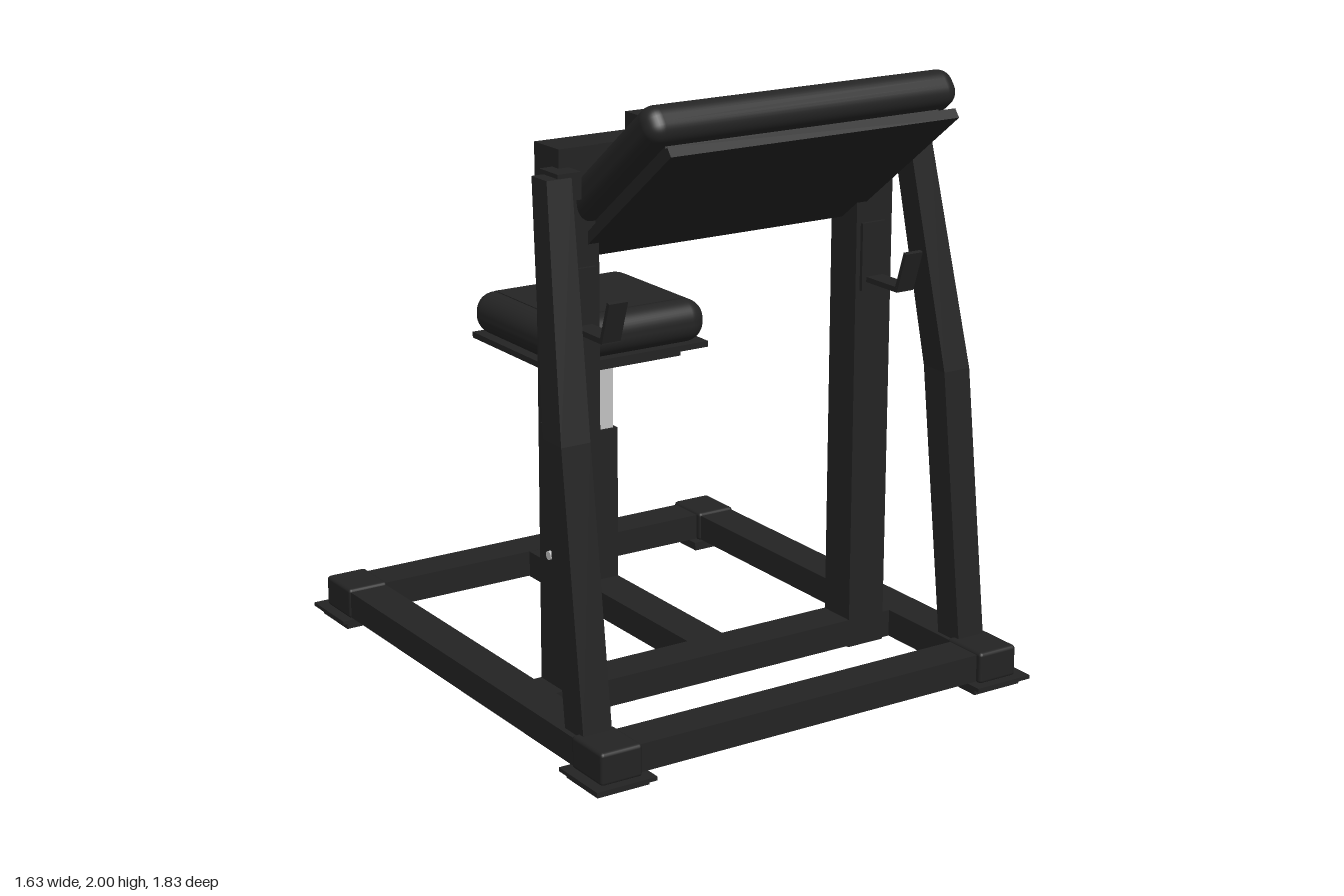
import * as THREE from 'three';
import { RoundedBoxGeometry } from 'three/addons/geometries/RoundedBoxGeometry.js';

const mat = (name, color) => new THREE.MeshStandardMaterial({ name, color });

export function createModel() {
  const model = new THREE.Group();
  model.name = 'preacherCurlBench';
  const frame = mat('black frame', 0x232323);
  const vinyl = mat('black vinyl', 0x242424);
  const chrome = mat('light steel', 0xc2c2c2);
  const hole = mat('hole black', 0x0a0a0a);

  const add = (name, geo, material, x = 0, y = 0, z = 0, parent = model) => {
    const m = new THREE.Mesh(geo, material);
    m.name = name;
    m.position.set(x, y, z);
    parent.add(m);
    return m;
  };
  // Box given by its min and max on each axis
  const box = (name, [x0, x1], [y0, y1], [z0, z1], material = frame, parent = model) =>
    add(name, new THREE.BoxGeometry(x1 - x0, y1 - y0, z1 - z0), material,
      (x0 + x1) / 2, (y0 + y1) / 2, (z0 + z1) / 2, parent);
  // Range mirrored to the side s
  const side = (s, a, b) => (s > 0 ? [a, b] : [-b, -a]);
  const rod = (name, r, len, axis, x, y, z, material = chrome) => {
    const m = add(name, new THREE.CylinderGeometry(r, r, len, 20), material, x, y, z);
    if (axis === 'x') m.rotation.z = Math.PI / 2;
    else m.rotation.x = Math.PI / 2;
    return m;
  };

  // Base rails
  const railY = [0.035, 0.125];
  box('frontRail', [-0.65, 0.65], railY, [0.73, 0.865]);
  box('middleRail', [-0.65, 0.65], railY, [0.265, 0.4]);
  box('rearRail', [-0.65, 0.65], railY, [-0.87, -0.735]);
  box('centreRail', [-0.067, 0.067], [0.033, 0.124], [-0.74, 0.27]);

  for (const s of [1, -1]) {
    box('sideRail', side(s, 0.642, 0.775), railY, [-0.87, 0.87]);

    // Boots and foot plates on the corners
    for (const t of [1, -1]) {
      add('cornerBoot', new RoundedBoxGeometry(0.145, 0.105, 0.17, 2, 0.012), frame, s * 0.708, 0.082, t * 0.8);
      box('footPlate', side(s, 0.605, 0.815), [0.022, 0.034], side(t, 0.7, 0.915));
      box('footPad', side(s, 0.615, 0.795), [0, 0.022], side(t, 0.71, 0.885));
    }

    // Uprights with bolts
    box('upright', side(s, 0.477, 0.615), [0.03, 1.825], [0.267, 0.4]);
    for (const y of [0.55, 1.0, 1.455]) rod('uprightBolt', 0.014, 0.012, 'x', s * 0.619, y, 0.333);

    // Bent front leg: cross-sections [y, x, z, width, depth] on a box
    const stations = [[0.12, 0.707, 0.695, 0.1, 0.105], [1.0, 0.707, 0.583, 0.1, 0.105], [1.755, 0.658, 0.432, 0.085, 0.085]];
    const leg = new THREE.BoxGeometry(1, 2, 1, 1, 2, 1);
    const p = leg.attributes.position;
    for (let i = 0; i < p.count; i++) {
      const [y, x, z, w, d] = stations[Math.round(p.getY(i)) + 1];
      p.setXYZ(i, s * x + p.getX(i) * w, y, z + p.getZ(i) * d);
    }
    const flatLeg = leg.toNonIndexed();
    flatLeg.computeVertexNormals();
    add('frontLeg', flatLeg, frame);
    box('legBracket', side(s, 0.58, 0.66), [1.685, 1.768], [0.365, 0.47]);

    // Bar hook: back plate, arm and leaning lip
    const hook = new THREE.Group();
    hook.name = 'barHook';
    model.add(hook);
    box('hookPlate', side(s, 0.493, 0.583), [1.24, 1.46], [0.4, 0.412], frame, hook);
    box('hookArm', side(s, 0.51, 0.575), [1.268, 1.285], [0.41, 0.57], frame, hook);
    const lip = add('hookLip', new THREE.BoxGeometry(0.065, 0.135, 0.014), frame, s * 0.543, 1.337, 0.585, hook);
    lip.rotation.x = 0.32;
  }
  box('sidePlaque', [-0.622, -0.614], [0.68, 0.965], [0.29, 0.375]);

  // Top beam and raised plate
  box('topBeam', [-0.615, 0.615], [1.69, 1.825], [0.262, 0.395]);
  box('topPlate', [-0.362, 0.362], [1.73, 1.905], [0.365, 0.435]);

  // Sloping arm pad
  const rest = new THREE.Group();
  rest.name = 'armRest';
  rest.position.set(0, 1.757, 0.51);
  rest.rotation.x = -0.656;
  model.add(rest);
  add('armPad', new RoundedBoxGeometry(1.108, 0.12, 0.71, 5, 0.05), vinyl, 0, 0, 0, rest);
  add('armPadPanel', new THREE.BoxGeometry(1.0, 0.006, 0.58), vinyl, 0, 0.06, 0, rest);

  // Boards under the arm pad, with cut corners at the lower end
  const board = (name, w, z0, z1, y0, y1) => {
    const c = 0.04;
    const outline = new THREE.Shape([[-w, -z1], [w, -z1], [w, -z0 - c], [w - c, -z0], [c - w, -z0], [-w, -z0 - c]]
      .map(([x, y]) => new THREE.Vector2(x, y)));
    const geo = new THREE.ExtrudeGeometry(outline, { depth: y1 - y0, bevelEnabled: false });
    geo.rotateX(-Math.PI / 2);
    add(name, geo, frame, 0, y0, 0, rest);
  };
  board('padSpacer', 0.49, -0.3, 0.29, -0.087, -0.05);
  board('padBoard', 0.515, -0.325, 0.335, -0.115, -0.083);

  // Seat post
  box('seatColumn', [-0.067, 0.067], [0.03, 0.655], [-0.5, -0.367]);
  box('seatTube', [-0.055, 0.055], [0.6, 0.925], [-0.482, -0.375], chrome);
  for (const y of [0.7, 0.76, 0.82, 0.88]) rod('tubeHole', 0.014, 0.004, 'z', 0, y, -0.482, hole);
  rod('lockPin', 0.011, 0.1, 'z', 0, 0.605, -0.54);
  rod('lockKnob', 0.026, 0.036, 'z', 0, 0.605, -0.598);

  // Seat
  box('seatBracket', [-0.217, 0.217], [0.92, 0.95], [-0.648, -0.212]);
  box('seatPlate', [-0.3, 0.3], [0.948, 0.968], [-0.695, -0.17]);
  add('seatPad', new RoundedBoxGeometry(0.606, 0.145, 0.545, 6, 0.066), vinyl, 0, 1.037, -0.435);
  add('seatPanel', new THREE.BoxGeometry(0.474, 0.005, 0.415), vinyl, 0, 1.11, -0.4375);

  return model;
}
